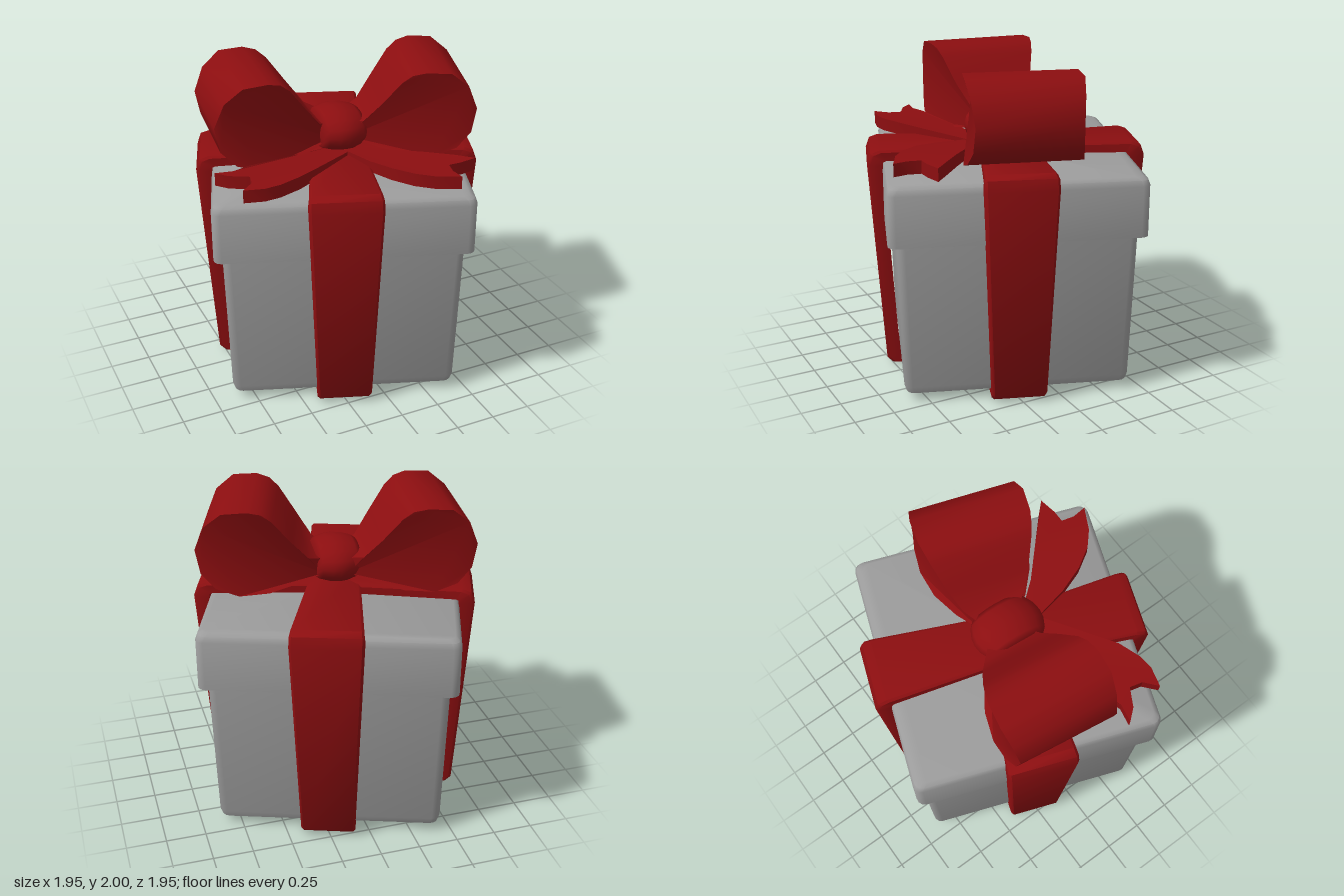
import * as THREE from 'three';
import { toCreasedNormals } from 'three/addons/utils/BufferGeometryUtils.js';

const paper = new THREE.MeshStandardMaterial({ color: 0x9c9c9c });
paper.name = 'grey paper';
const satin = new THREE.MeshStandardMaterial({ color: 0x8c0e10 });
satin.name = 'red ribbon';

const YAW = -0.347; // the box stands turned on its base

function add(parent, name, geometry, material) {
  const mesh = new THREE.Mesh(geometry, material);
  mesh.name = name;
  parent.add(mesh);
  return mesh;
}

// Skin over a row of rings; either joined end to end or capped with fans
function loft(rings, joined) {
  const n = rings[0].length, m = rings.length;
  const pos = rings.flat(2), index = [];
  for (let i = 0; i < (joined ? m : m - 1); i++) {
    const k = (i + 1) % m;
    for (let j = 0; j < n; j++) {
      const l = (j + 1) % n;
      const a = i * n + j, b = i * n + l, c = k * n + l, d = k * n + j;
      index.push(a, b, c, a, c, d);
    }
  }
  if (!joined) {
    const top = (m - 1) * n;
    for (let j = 1; j < n - 1; j++) {
      index.push(0, j + 1, j, top, top + j, top + j + 1);
    }
  }
  const g = new THREE.BufferGeometry();
  g.setAttribute('position', new THREE.Float32BufferAttribute(pos, 3));
  g.setIndex(index);
  return toCreasedNormals(g, 0.75);
}

// Square ring with rounded corners, h = half side
function squareRing(h, y, r = 0.05) {
  const ring = [];
  for (let q = 0; q < 4; q++) {
    for (let s = 0; s <= 3; s++) {
      const a = (q + s / 3) * Math.PI / 2;
      const mid = (q + 0.5) * Math.PI / 2;
      const x = Math.sign(Math.cos(mid)) * (h - r) + r * Math.cos(a);
      const z = Math.sign(Math.sin(mid)) * (h - r) + r * Math.sin(a);
      ring.push([x, y, -z]);
    }
  }
  return ring;
}

const stack = (levels) => loft(levels.map(([h, y]) => squareRing(h, y)), false);

// Band around the box: outer distance and height, inner distance and height, half width
function bandGeometry() {
  const half = [
    [0, 1.455, 0, 1.395, 0.155],
    [0.79, 1.465, 0.75, 1.4, 0.212],
    [0.845, 1.445, 0.768, 1.395, 0.217],
    [0.868, 1.38, 0.772, 1.37, 0.218],
    [0.785, 0.05, 0.7, 0.07, 0.17],
    [0.745, 0.01, 0.68, 0.05, 0.17],
    [0, 0, 0, 0.05, 0.17],
  ];
  const back = half.slice(1, -1).reverse().map(([a, b, c, d, w]) => [-a, b, -c, d, w]);
  const rings = [...half, ...back].map(([od, oy, id, iy, w]) => {
    const at = (x, t) => [x, iy + (oy - iy) * t, id + (od - id) * t];
    return [at(-w, 0), at(w, 0), at(w, 0.8), at(w - 0.015, 1), at(0.015 - w, 1), at(-w, 0.8)];
  });
  return loft(rings, true);
}

// Teardrop loop, widening away from the knot
function bowLoopGeometry(offset) {
  const outline = [
    [0.06, 1.62], [0.15, 1.65], [0.25, 1.78], [0.36, 1.93], [0.42, 1.98], [0.5, 2.0],
    [0.65, 1.99], [0.76, 1.9], [0.82, 1.75], [0.79, 1.6], [0.7, 1.51], [0.56, 1.465],
    [0.38, 1.47], [0.2, 1.5], [0.06, 1.52],
  ];
  const shape = new THREE.Shape(outline.map(([x, y]) => new THREE.Vector2(x, y)));
  const g = new THREE.ExtrudeGeometry(shape, { depth: 1, bevelEnabled: false });
  const p = g.attributes.position;
  for (let i = 0; i < p.count; i++) {
    const w = 0.35 - 0.8 * (p.getX(i) - 0.6) ** 2;
    p.setZ(i, (p.getZ(i) - 0.5) * 2 * w + offset);
  }
  return toCreasedNormals(g, 0.75);
}

// Flat ribbon end with a notch, drawn in x and z
function tailGeometry(points) {
  const shape = new THREE.Shape(points.map(([x, z]) => new THREE.Vector2(x, -z)));
  const g = new THREE.ExtrudeGeometry(shape, { depth: 0.08, bevelEnabled: false });
  g.rotateX(-Math.PI / 2);
  const p = g.attributes.position;
  // sinks towards the knot
  for (let i = 0; i < p.count; i++) {
    const r = Math.min(1, Math.hypot(p.getX(i), p.getZ(i)) / 0.7);
    p.setY(i, 1.41 + 0.03 * r + p.getY(i) * (0.6 + 0.4 * r));
  }
  return toCreasedNormals(g, 0.6);
}

export function createModel() {
  const model = new THREE.Group();
  model.name = 'giftBox';

  // Box, lid and the two crossing bands
  const box = new THREE.Group();
  box.name = 'wrappedBox';
  box.rotation.y = YAW;
  model.add(box);
  add(box, 'boxBody', stack([[0.65, 0.04], [0.685, 0.055], [0.698, 0.1], [0.723, 1.05]]), paper);
  add(box, 'lid', stack([[0.7, 1.035], [0.774, 1.035], [0.774, 1.35], [0.762, 1.385], [0.735, 1.4]]), paper);
  const band = bandGeometry();
  add(box, 'bandFrontBack', band, satin);
  add(box, 'bandLeftRight', band, satin).rotation.y = Math.PI / 2;

  // Bow
  const bow = new THREE.Group();
  bow.name = 'bow';
  model.add(bow);
  for (const [name, angle, offset] of [['leftLoop', -18, -0.045], ['rightLoop', 172, 0.05]]) {
    const loop = add(bow, name, bowLoopGeometry(offset), satin);
    loop.position.z = 0.03;
    loop.rotation.y = THREE.MathUtils.degToRad(angle);
  }

  // Knot: a squashed barrel across the middle
  const barrel = [[0, -0.14], [0.72, -0.14], [0.85, -0.11], [0.97, -0.05], [1, 0], [0.97, 0.05], [0.85, 0.11], [0.72, 0.14], [0, 0.14]];
  const knotGeometry = new THREE.LatheGeometry(barrel.map(([r, y]) => new THREE.Vector2(r, y)), 16);
  knotGeometry.rotateZ(Math.PI / 2).scale(1, 0.14, 0.23);
  const knot = add(bow, 'knot', knotGeometry, satin);
  knot.position.set(0, 1.565, 0.025);
  knot.rotation.y = -0.08;

  // Ribbon ends
  add(bow, 'rightTail', tailGeometry([
    [0, 0.1], [-0.3, 0.17], [-0.5, 0.22], [-0.68, 0.26], [-0.78, 0.29], [-0.89, 0.27], [-0.83, 0.34], [-0.72, 0.4],
    [-0.74, 0.48], [-0.82, 0.55], [-0.7, 0.58], [-0.6, 0.57], [-0.46, 0.52], [-0.3, 0.42], [-0.03, 0.25],
  ]), satin);
  add(bow, 'leftTail', tailGeometry([
    [-0.03, 0.2], [0.02, 0.46], [0.08, 0.63], [0.16, 0.76], [0.25, 0.84], [0.39, 0.91], [0.38, 0.82], [0.4, 0.74],
    [0.48, 0.74], [0.59, 0.72], [0.5, 0.63], [0.35, 0.49], [0.2, 0.35], [0.08, 0.2],
  ]), satin);

  return model;
}
